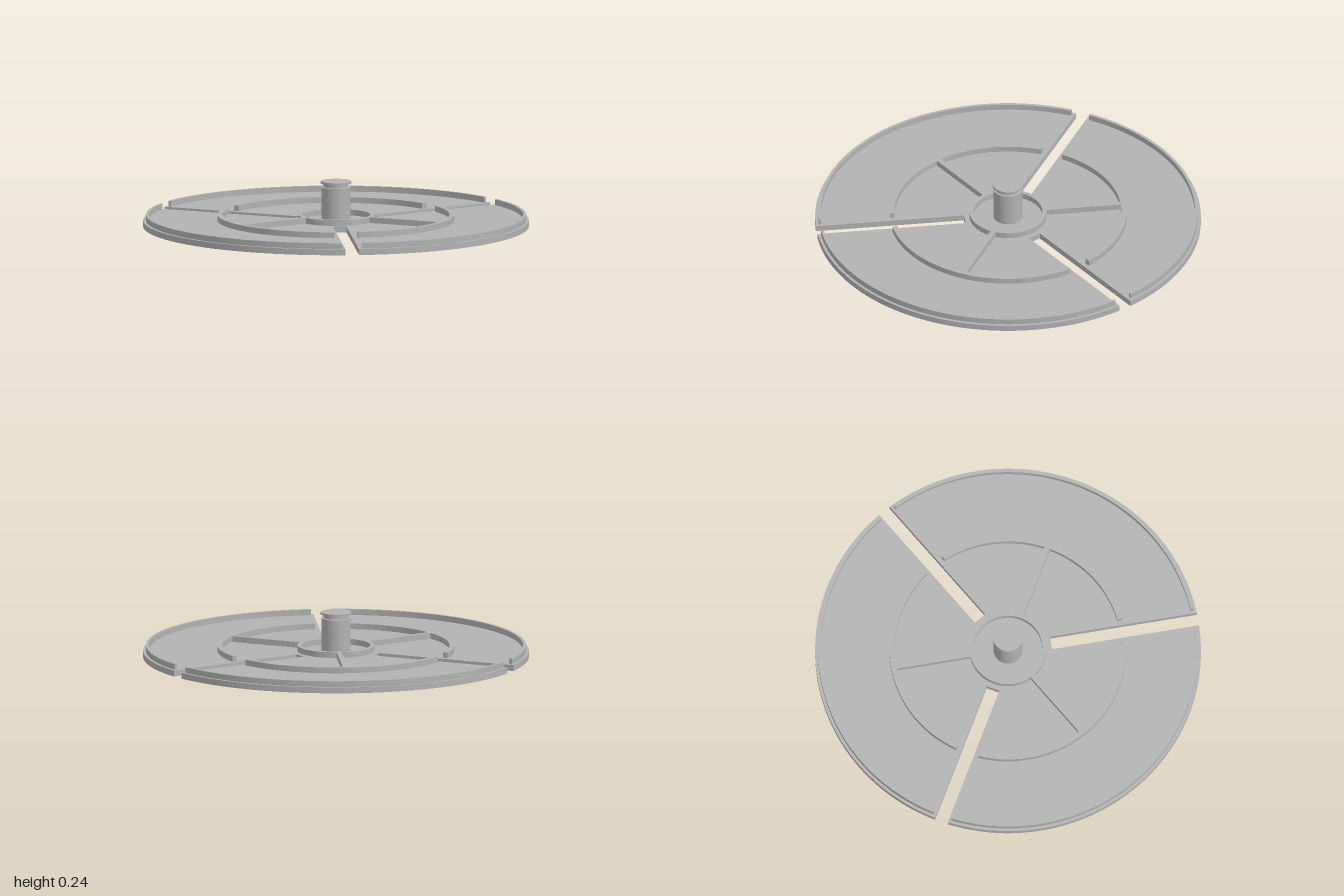
import * as THREE from 'three';
import { toCreasedNormals } from 'three/addons/utils/BufferGeometryUtils.js';

const THIRD = Math.PI * 2 / 3;
const SLOT = THREE.MathUtils.degToRad(-7.8); // direction of the first slot
const BASE = 0.031, RIB = 0.03;              // plate thickness, rib height

export function createModel() {
  const model = new THREE.Group();
  const grey = new THREE.MeshStandardMaterial({ color: 0xb2b2b2 });
  grey.name = 'grey';

  const add = (name, geometry, y = 0) => {
    const mesh = new THREE.Mesh(geometry, grey);
    mesh.name = name;
    mesh.position.y = y;
    model.add(mesh);
    return mesh;
  };

  // Extrude a plan outline upwards, smooth along its arcs
  const slab = (shape, height) => {
    const g = new THREE.ExtrudeGeometry(shape, { depth: height, bevelEnabled: false, curveSegments: 48 });
    g.rotateX(-Math.PI / 2);
    return toCreasedNormals(g, 0.5);
  };

  // Round plate with three slots open at the edge
  const half = 0.035, slotStart = 0.226, cut = Math.asin(half);
  const plate = new THREE.Shape();
  for (let i = 0; i < 3; i++) {
    const a = SLOT + i * THIRD, b = a + THIRD;
    plate.absarc(0, 0, 1, a + cut, b - cut, false);
    for (const side of [-half, half]) {
      plate.lineTo(slotStart * Math.cos(b) - side * Math.sin(b), slotStart * Math.sin(b) + side * Math.cos(b));
    }
  }
  plate.closePath();
  add('slottedPlate', slab(plate, BASE));

  // Curved rib between two slots, stopping short of each
  const arcRib = (inner, outer, gap) => {
    const s = new THREE.Shape();
    const o = Math.asin(gap / outer), n = Math.asin(gap / inner);
    s.absarc(0, 0, outer, SLOT + o, SLOT + THIRD - o, false);
    s.absarc(0, 0, inner, SLOT + THIRD - n, SLOT + n, true);
    s.closePath();
    return slab(s, RIB);
  };
  const rim = arcRib(0.97, 0.985, 0.05);
  const ring = arcRib(0.588, 0.615, 0.06);

  // Spoke midway between slots, from the hub wall to the ring
  const spoke = new THREE.BoxGeometry(0.41, RIB, 0.027);
  spoke.translate(0.395, RIB / 2, 0);

  for (let i = 0; i < 3; i++) {
    add('rimRib', rim, BASE).rotation.y = i * THIRD;
    add('ringRib', ring, BASE).rotation.y = i * THIRD;
    add('spoke', spoke, BASE).rotation.y = SLOT + (i + 0.5) * THIRD;
  }

  // Circular wall around the post
  const wall = new THREE.Shape().absarc(0, 0, 0.2, 0, Math.PI * 2, false);
  wall.holes.push(new THREE.Path().absarc(0, 0, 0.178, 0, Math.PI * 2, true));
  add('hubWall', slab(wall, RIB), BASE);

  // Central post with a groove below its cap
  const profile = [
    [0, 0.03], [0.075, 0.03], [0.075, 0.205], [0.066, 0.207],
    [0.066, 0.223], [0.08, 0.225], [0.08, 0.236], [0, 0.236],
  ].map(([r, y]) => new THREE.Vector2(r, y));
  add('post', toCreasedNormals(new THREE.LatheGeometry(profile, 48), 0.5));

  return model;
}
